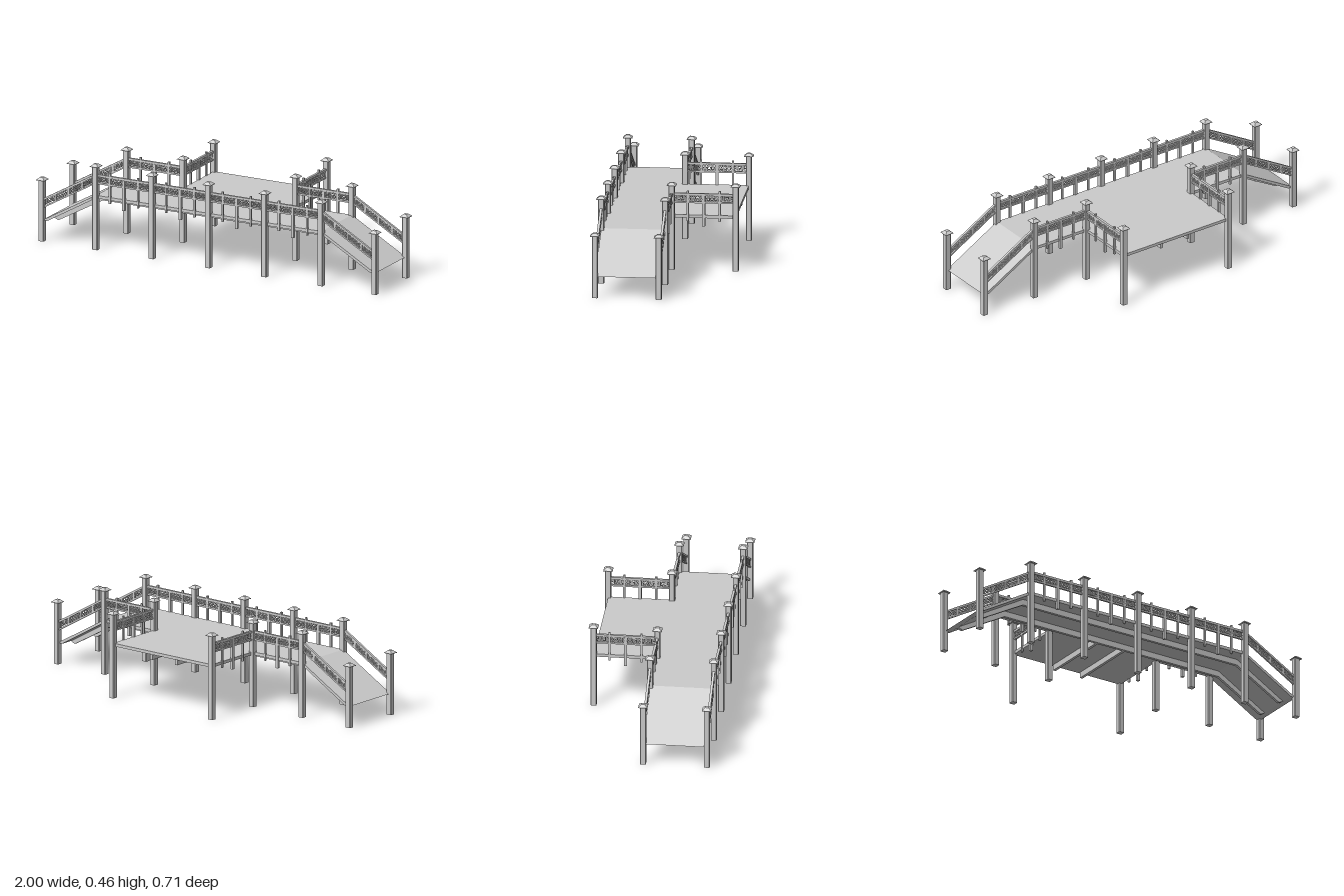
import * as THREE from 'three';
import { mergeGeometries } from 'three/addons/utils/BufferGeometryUtils.js';

const BAY = 0.33, END = 0.975, EDGE = 0.66;
const SLOPE = 0.18 / (END - EDGE);
const mat = new THREE.MeshStandardMaterial({ color: 0xcccccc, flatShading: true });

// Fretwork patterns: # is a bar, . is an opening
const KEY = [
  '.....#.........#.....',
  '.###.#.#######.#.###.',
  '...#.#.#.....#.#.#...',
  '####.#.#.###.#.#.####',
  '...#.#...#.#...#.#...',
  '.#.#.#####.#####.#.#.',
  '.#.................#.',
];
const BRICK = [
  '#...#...#...#...#...#',
  '#.#####.#####.#####.#',
  '#...#.....#.....#...#',
  '###.#.###.#.###.#.###',
  '..#...#.#...#.#...#..',
  '#.#####.#####.#####.#',
  '#...#...#...#...#...#',
];

function mesh(name, geometry) {
  const m = new THREE.Mesh(geometry, mat);
  m.name = name;
  return m;
}

// Box geometry given by its limits on each axis
function span(x0, x1, y0, y1, z0, z1) {
  return new THREE.BoxGeometry(x1 - x0, y1 - y0, z1 - z0)
    .translate((x0 + x1) / 2, (y0 + y1) / 2, (z0 + z1) / 2);
}

// Side profile in x/y, extruded from z0 to z1
function profile(points, z0, z1) {
  const shape = new THREE.Shape(points.map(([x, y]) => new THREE.Vector2(x, y)));
  return new THREE.ExtrudeGeometry(shape, { depth: z1 - z0, bevelEnabled: false }).translate(0, 0, z0);
}

// Bars of one fretwork panel, one box for each run of cells
function fretwork(pattern, x0, x1, y0, y1) {
  const cw = (x1 - x0) / pattern[0].length, ch = (y1 - y0) / pattern.length;
  const bars = [];
  pattern.forEach((row, r) => {
    for (const run of row.matchAll(/#+/g)) {
      const x = x0 + run.index * cw, y = y1 - (r + 1) * ch;
      bars.push(span(x, x + run[0].length * cw, y, y + ch, -0.003, 0.003));
    }
  });
  return bars;
}

// Railing geometries for one bay, centred on x = 0
function railingParts() {
  const h = 0.152, y0 = 0.362, y1 = 0.394;
  const panels = [[-0.15, -0.088, KEY], [-0.077, -0.008, BRICK], [0.008, 0.077, BRICK], [0.088, 0.15, KEY]];
  const stiles = [-0.0825, 0, 0.0825].map(x => span(x - 0.006, x + 0.006, y0, y1, -0.004, 0.004));
  return {
    topRail: span(-h, h, 0.393, 0.405, -0.0065, 0.0065),
    lowerRail: span(-h, h, 0.353, 0.362, -0.005, 0.005),
    fretwork: mergeGeometries([...stiles, ...panels.flatMap(([a, b, p]) => fretwork(p, a, b, y0, y1))]),
    balusters: mergeGeometries([
      span(-0.0875, -0.0775, 0.257, 0.418, -0.005, 0.005),
      span(0.0775, 0.0875, 0.257, 0.418, -0.005, 0.005),
      span(-0.0075, 0.0075, 0.232, 0.394, -0.0075, 0.0075),
    ]),
  };
}

export function createModel() {
  const model = new THREE.Group();
  model.name = 'footbridge';

  // Posts with chamfered corners and tapered caps
  const a = 0.015, b = 0.0125;
  const section = [[a, -b], [a, b], [b, a], [-b, a], [-a, b], [-a, -b], [-b, -a], [b, -a]];
  const shaft = profile(section, 0, 1).rotateX(-Math.PI / 2);
  const capPoints = [[0, 0], [0.024, 0], [0.024, 0.002], [0.011, 0.013], [0.009, 0.015], [0, 0.015]]
    .map(([r, y]) => new THREE.Vector2(r * Math.SQRT2, y));
  const cap = new THREE.LatheGeometry(capPoints, 4).rotateY(Math.PI / 4);

  function addPost(x, z, height) {
    const post = new THREE.Group();
    post.name = 'post';
    const body = mesh('postShaft', shaft);
    body.scale.y = height;
    const top = mesh('postCap', cap);
    top.position.y = height;
    post.add(body, top);
    post.position.set(x, 0, z);
    model.add(post);
  }
  addPost(0, BAY, 0.445);
  for (const s of [-1, 1]) {
    for (const z of [0, BAY]) {
      addPost(s * END, z, 0.327);
      addPost(s * EDGE, z, 0.445);
      addPost(s * BAY, z, 0.445);
    }
    addPost(s * BAY, -BAY, 0.445);
  }

  // Railings: level bays with balusters, ramp bays sheared to the slope
  const level = railingParts();
  const shear = new THREE.Matrix4().makeShear(-SLOPE, 0, 0, 0, 0, 0);
  const sloped = {};
  for (const name of ['topRail', 'lowerRail', 'fretwork']) {
    sloped[name] = level[name].clone().scale((END - EDGE) / BAY, 1, 1)
      .applyMatrix4(shear).translate(0, -SLOPE * (END - EDGE) / 2, 0);
  }
  function addRailing(name, parts, x, z, angle) {
    const railing = new THREE.Group();
    railing.name = name;
    for (const part in parts) railing.add(mesh(part, parts[part]));
    railing.position.set(x, 0, z);
    railing.rotation.y = angle;
    model.add(railing);
  }
  for (const s of [-1, 1]) {
    const turn = s > 0 ? 0 : Math.PI;
    for (const z of [0, BAY]) {
      addRailing('rampRailing', sloped, s * (END + EDGE) / 2, z, turn);
      addRailing('walkwayRailing', level, s * BAY * 1.5, z, turn);
    }
    addRailing('walkwayRailing', level, s * BAY * 0.5, BAY, turn);
    addRailing('platformRailing', level, s * BAY, -BAY / 2, Math.PI / 2);
  }

  // Decks: walkway with a ramp at each end, and the rear platform
  model.add(mesh('walkwayDeck', profile([
    [-END, 0.11], [-0.945, 0.11], [-EDGE, 0.274], [EDGE, 0.274],
    [0.945, 0.11], [END, 0.11], [EDGE, 0.29], [-EDGE, 0.29],
  ], 0, BAY)));
  model.add(mesh('platformDeck', span(-BAY, BAY, 0.274, 0.29, -BAY, 0)));

  // Beams under the walkway and ramps
  for (const z of [0.08, 0.25]) {
    model.add(mesh('walkwayBeam', profile([
      [-0.945, 0.11], [-0.92, 0.098], [-EDGE, 0.243], [EDGE, 0.243],
      [0.92, 0.098], [0.945, 0.11], [EDGE, 0.275], [-EDGE, 0.275],
    ], z - 0.0075, z + 0.0075)));
  }

  // Beams under the platform
  for (const x of [-0.083, 0.083]) {
    model.add(mesh('platformBeam', span(x - 0.0075, x + 0.0075, 0.243, 0.275, -0.32, 0.08)));
  }
  return model;
}
